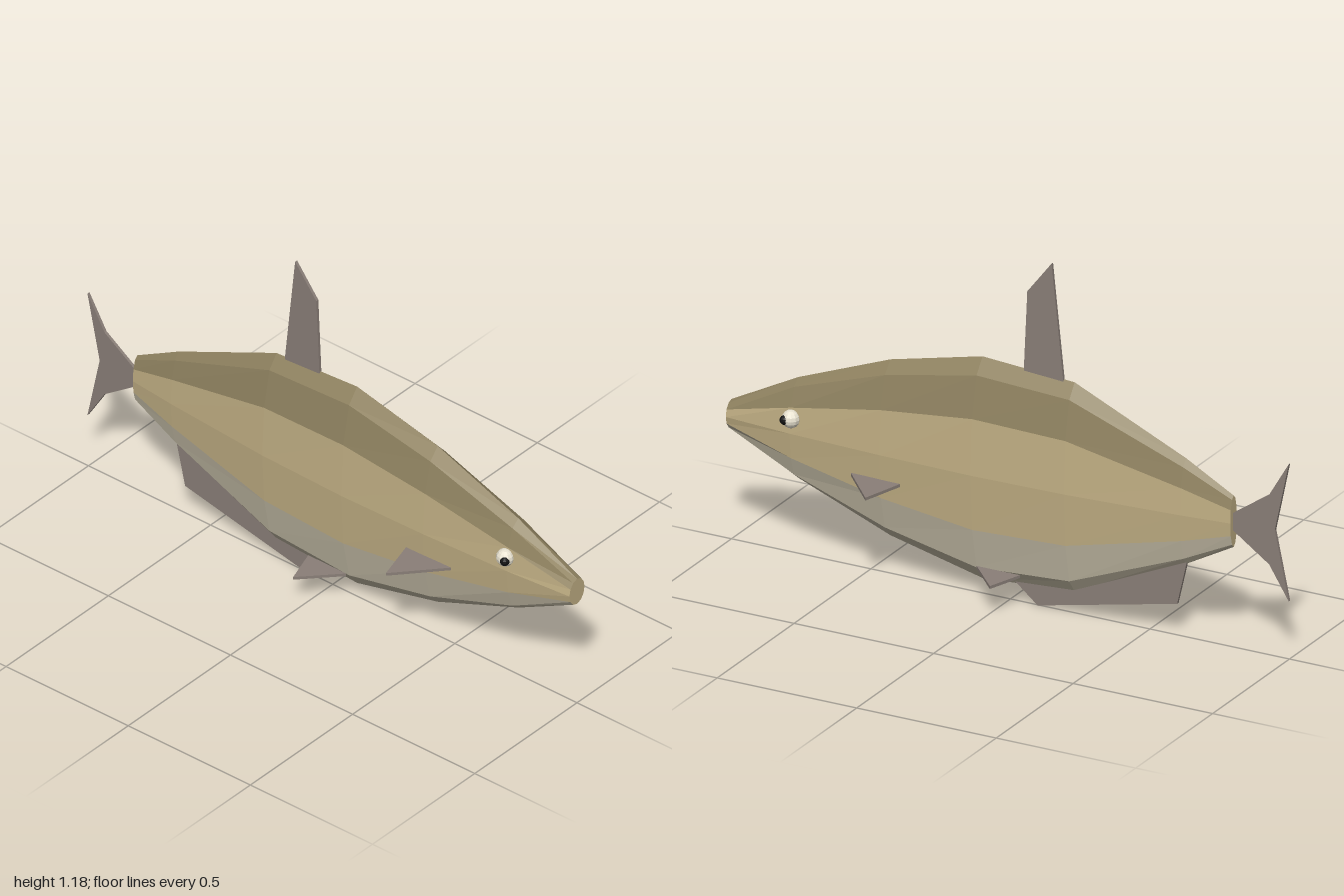
import * as THREE from 'three';

const CY = 0.431; // height of the body axis
// Body stations: x, half height, half width
const STATIONS = [
  [-0.8, 0.088, 0.022], [-0.63, 0.18, 0.04], [-0.23, 0.357, 0.07], [0.1, 0.378, 0.079],
  [0.43, 0.3, 0.073], [0.76, 0.172, 0.058], [1, 0.048, 0.037],
];

const material = (color) => new THREE.MeshStandardMaterial({ color, flatShading: true });

function addMesh(parent, name, geometry, mat) {
  const mesh = new THREE.Mesh(geometry, mat);
  mesh.name = name;
  parent.add(mesh);
  return mesh;
}

// Strip of the twelve-sided body between two side numbers, counted from the back ridge
function bodyBand(from, to) {
  const point = ([x, h, w], k) => {
    const a = k * Math.PI / 6;
    return [x, CY + h * Math.cos(a), w * Math.sin(a)];
  };
  const pos = [];
  for (let i = 0; i < STATIONS.length - 1; i++) {
    for (let k = from; k < to; k++) {
      const a = point(STATIONS[i], k), b = point(STATIONS[i], k + 1);
      const c = point(STATIONS[i + 1], k), d = point(STATIONS[i + 1], k + 1);
      pos.push(...a, ...b, ...c, ...b, ...d, ...c);
    }
  }
  const g = new THREE.BufferGeometry();
  g.setAttribute('position', new THREE.Float32BufferAttribute(pos, 3));
  g.computeVertexNormals();
  return g;
}

// Thin plate from an outline in x and y
function plate(points) {
  const shape = new THREE.Shape(points.map(([x, y]) => new THREE.Vector2(x, y)));
  return new THREE.ExtrudeGeometry(shape, { depth: 0.01, bevelEnabled: false }).translate(0, 0, -0.005);
}

export function createModel() {
  const fish = new THREE.Group();
  fish.name = 'fish';
  const backMat = material(0x8f8260), flankMat = material(0xc0ae83), bellyMat = material(0xc2baa4);
  const finMat = material(0x8a7f78), eyeMat = material(0xe8e2d0), pupilMat = material(0x111111);

  // Body in coloured bands
  addMesh(fish, 'back', bodyBand(-2, 2), backMat);
  addMesh(fish, 'flankNear', bodyBand(2, 4), flankMat);
  addMesh(fish, 'belly', bodyBand(4, 8), bellyMat);
  addMesh(fish, 'flankFar', bodyBand(8, 10), flankMat);

  // Flat ends
  for (const [name, [x, h, w], turn] of [['snout', STATIONS[6], 1], ['tailEnd', STATIONS[0], -1]]) {
    const cap = new THREE.CircleGeometry(1, 12).scale(w, h, 1).rotateY(turn * Math.PI / 2);
    addMesh(fish, name, cap.translate(x, CY, 0), flankMat);
  }

  // Upright fins
  addMesh(fish, 'dorsalFin', plate([[-0.197, 0.74], [-0.15, 1.178], [-0.063, 1.066], [-0.048, 0.74]]), finMat);
  addMesh(fish, 'tailFin', plate([
    [-0.8, 0.46], [-0.93, 0.55], [-1, 0.668], [-0.95, 0.433], [-1, 0.2], [-0.93, 0.312], [-0.8, 0.402],
  ]), finMat);
  addMesh(fish, 'analFin', plate([
    [-0.635, 0.26], [-0.6, 0.11], [-0.1, 0.002], [-0.02, 0.068], [-0.23, 0.1],
  ]), finMat);

  for (const s of [1, -1]) {
    const side = s > 0 ? 'Near' : 'Far';
    // Level paired fins, outlined in x and z
    const levelFin = (name, y, points) => addMesh(fish, name + side,
      plate(points.map(([x, z]) => [x, z * s])).rotateX(Math.PI / 2).translate(0, y, 0), finMat);
    levelFin('pectoralFin', 0.341, [[0.357, 0.066], [0.4, 0.218], [0.537, 0.064]]);
    levelFin('pelvicFin', 0.108, [[-0.06, 0.048], [-0.02, 0.17], [0.095, 0.048]]);

    // Eyes
    addMesh(fish, 'eye' + side, new THREE.SphereGeometry(0.03, 12, 8), eyeMat).position.set(0.755, 0.483, s * 0.058);
    addMesh(fish, 'pupil' + side, new THREE.SphereGeometry(0.016, 10, 8), pupilMat).position.set(0.768, 0.483, s * 0.076);
  }
  return fish;
}
